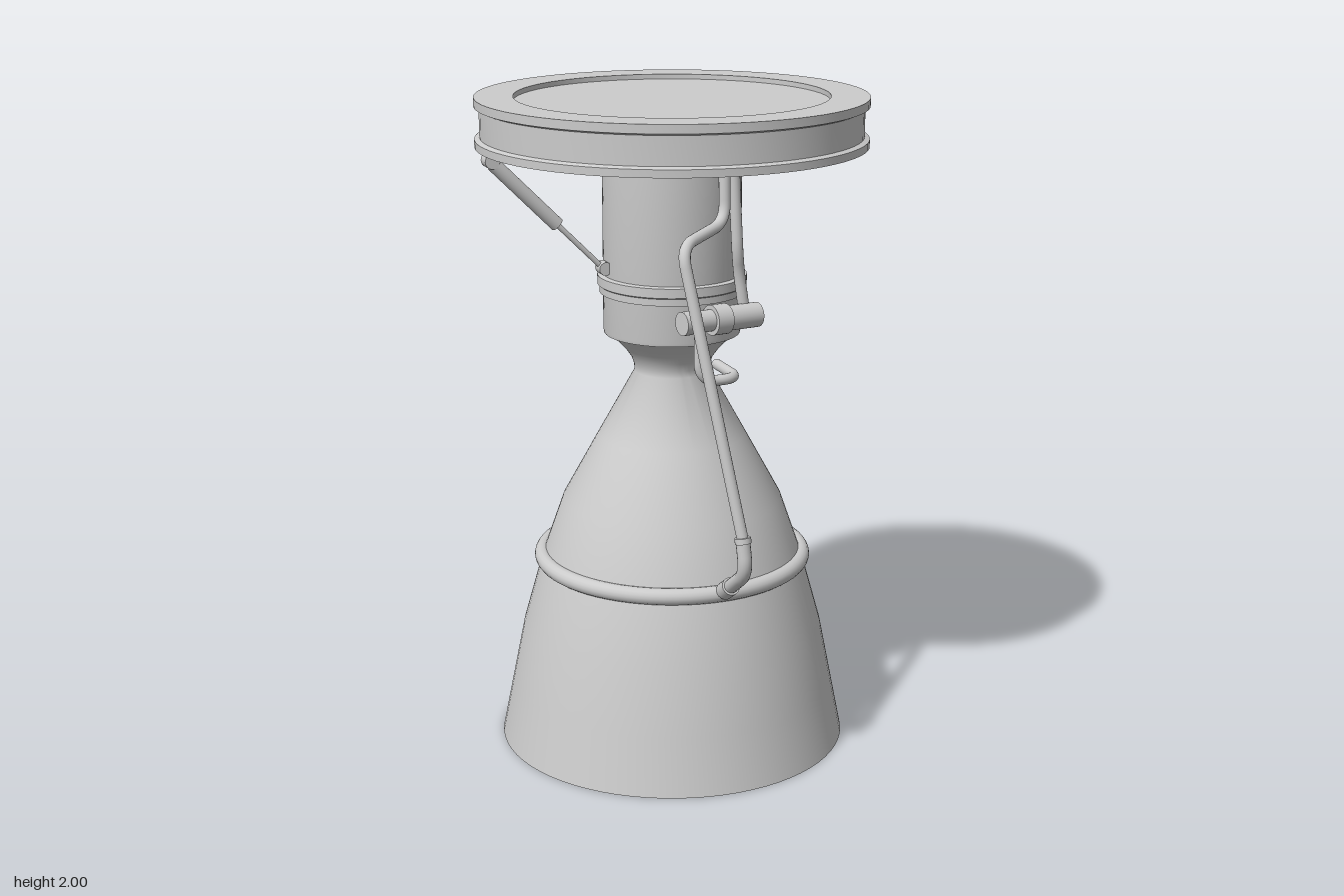
import * as THREE from 'three';
import { toCreasedNormals } from 'three/addons/utils/BufferGeometryUtils.js';

const material = new THREE.MeshStandardMaterial({ color: 0xcccccc });
const V = (p) => new THREE.Vector3(...p);

function add(parent, name, geometry) {
  const mesh = new THREE.Mesh(geometry, material);
  mesh.name = name;
  parent.add(mesh);
  return mesh;
}

// Turned part from [radius, height] points, running up the outside
function turned(parent, name, profile, crease = 0.5) {
  const points = profile.map(([r, y]) => new THREE.Vector2(r, y));
  return add(parent, name, toCreasedNormals(new THREE.LatheGeometry(points, 72), crease));
}

// Cylinder between two points
function rod(parent, name, a, b, radius, sides = 24) {
  const from = V(a), to = V(b), dir = to.clone().sub(from);
  const mesh = add(parent, name, new THREE.CylinderGeometry(radius, radius, dir.length(), sides));
  mesh.position.copy(from).lerp(to, 0.5);
  mesh.quaternion.setFromUnitVectors(new THREE.Vector3(0, 1, 0), dir.normalize());
  return mesh;
}

// Pipe through the points with rounded corners
function pipe(parent, name, points, radius, bend) {
  const p = points.map(V), path = new THREE.CurvePath();
  let last = p[0];
  for (let i = 1; i < p.length - 1; i++) {
    const toward = (q) => {
      const d = q.clone().sub(p[i]);
      return p[i].clone().addScaledVector(d.clone().normalize(), Math.min(bend, d.length() * 0.48));
    };
    const start = toward(p[i - 1]), end = toward(p[i + 1]);
    path.add(new THREE.LineCurve3(last, start));
    path.add(new THREE.QuadraticBezierCurve3(start, p[i], end));
    last = end;
  }
  path.add(new THREE.LineCurve3(last, p[p.length - 1]));
  return add(parent, name, new THREE.TubeGeometry(path, 140, radius, 16));
}

// Gimbal actuator reaching out along -x
function actuator(name) {
  const g = new THREE.Group();
  g.name = name;
  rod(g, 'actuatorBody', [-0.55, 1.83, 0], [-0.36, 1.64, 0], 0.021);
  rod(g, 'actuatorRod', [-0.37, 1.65, 0], [-0.215, 1.495, 0], 0.008, 12);
  rod(g, 'upperPivot', [-0.558, 1.84, -0.022], [-0.558, 1.84, 0.022], 0.022);
  rod(g, 'lowerPivot', [-0.217, 1.5, -0.02], [-0.217, 1.5, 0.02], 0.02);
  const lug = add(g, 'upperLug', new THREE.BoxGeometry(0.036, 0.03, 0.03));
  lug.position.set(-0.555, 1.852, 0);
  return g;
}

export function createModel() {
  const engine = new THREE.Group();
  engine.name = 'rocketEngine';

  // Mounting disc with a grooved rim and shallow top recess
  turned(engine, 'mountingDisc', [
    [0, 1.855], [0.58, 1.855], [0.58, 1.878], [0.565, 1.884], [0.565, 1.968],
    [0.58, 1.974], [0.58, 2], [0.465, 2], [0.465, 1.985], [0, 1.985],
  ]);

  // Combustion chamber and its collar
  turned(engine, 'chamber', [
    [0.205, 1.29], [0.207, 1.3], [0.207, 1.835], [0.193, 1.85], [0.193, 1.86],
  ]);
  turned(engine, 'chamberCollar', [
    [0.2, 1.415], [0.218, 1.415], [0.218, 1.436], [0.224, 1.44], [0.224, 1.468], [0.2, 1.472],
  ]);

  // Throat and bell: one thin wall, inside downward then outside upward
  const wall = [
    [0.535, 0], [0.5, 0.175], [0.463, 0.36], [0.4, 0.585], [0.335, 0.77], [0.225, 0.97], [0.114, 1.17],
    [0.115, 1.19], [0.124, 1.215], [0.142, 1.24], [0.165, 1.265], [0.205, 1.3],
  ];
  const inside = wall.map(([r, y]) => [r - 0.012, y]).reverse();
  turned(engine, 'nozzleBell', [[0, 1.3], ...inside, ...wall, [0, 1.3]], 0.7);

  // Manifold ring around the bell
  const ring = add(engine, 'manifoldRing', new THREE.TorusGeometry(0.401, 0.025, 16, 72));
  ring.rotation.x = Math.PI / 2;
  ring.position.y = 0.585;

  // Long feed pipe down to the ring, with a thicker lower sleeve
  pipe(engine, 'feedPipe', [
    [0.063, 1.87, 0.245], [0.06, 1.665, 0.26], [-0.125, 1.63, 0.385], [-0.005, 0.8, 0.56],
  ], 0.017, 0.06);
  pipe(engine, 'feedPipeSleeve', [
    [-0.006, 0.81, 0.558], [0, 0.705, 0.572], [0, 0.595, 0.415],
  ], 0.021, 0.05);
  rod(engine, 'sleeveCollar', [-0.006, 0.812, 0.558], [-0.005, 0.795, 0.561], 0.024);
  rod(engine, 'feedPipeFitting', [0, 0.63, 0.465], [0, 0.6, 0.42], 0.027);

  // Shorter supply pipe down to the pump
  pipe(engine, 'supplyPipe', [
    [0.1, 1.87, 0.222], [0.112, 1.57, 0.232], [0.125, 1.5, 0.215], [0.142, 1.38, 0.218],
  ], 0.017, 0.04);

  // Turbopump: coaxial drums on a slightly angled axis
  const pump = new THREE.Group();
  pump.name = 'turbopump';
  const at = (t) => [-0.08 + 0.26 * t, 1.38 - 0.006 * t, 0.277 - 0.052 * t];
  [
    ['pumpEndCap', 0, 0.1, 0.035], ['pumpNeck', 0.08, 0.17, 0.024], ['pumpDrum', 0.14, 0.45, 0.032],
    ['pumpBand', 0.38, 0.58, 0.045], ['turbineDrum', 0.55, 1, 0.037],
  ].forEach(([name, a, b, r]) => rod(pump, name, at(a), at(b), r));
  engine.add(pump);

  // Discharge pipe looping from the pump to the throat
  pipe(engine, 'dischargePipe', [
    [-0.017, 1.37, 0.257], [-0.017, 1.195, 0.257], [0.11, 1.195, 0.257], [0.11, 1.195, 0.09],
  ], 0.016, 0.06);
  add(engine, 'dischargePipeEnd', new THREE.SphereGeometry(0.016, 16, 12)).position.set(0.11, 1.195, 0.09);

  // Two actuators a quarter turn apart
  const side = actuator('sideActuator');
  const back = actuator('backActuator');
  back.rotation.y = -Math.PI / 2;
  engine.add(side, back);

  return engine;
}
